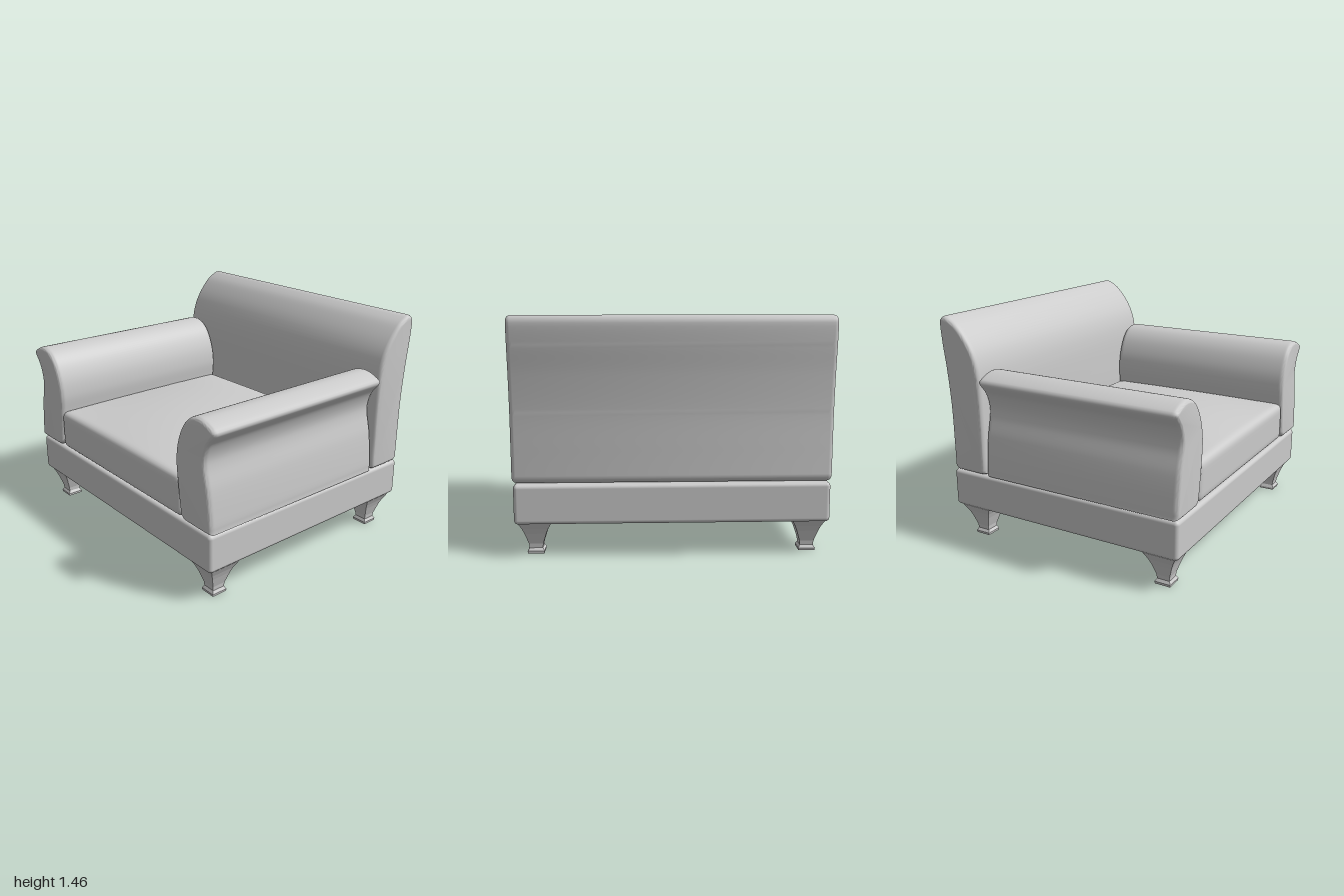
import * as THREE from 'three';
import { mergeVertices, toCreasedNormals } from 'three/addons/utils/BufferGeometryUtils.js';
import { RoundedBoxGeometry } from 'three/addons/geometries/RoundedBoxGeometry.js';

const upholstery = new THREE.MeshStandardMaterial({ color: 0xcccccc });
const wood = new THREE.MeshStandardMaterial({ color: 0xcccccc, flatShading: true });

function addMesh(parent, name, geometry, material, x = 0, y = 0, z = 0) {
  const mesh = new THREE.Mesh(geometry, material);
  mesh.name = name;
  mesh.position.set(x, y, z);
  parent.add(mesh);
  return mesh;
}

// Padded roll: a smooth profile extruded along z (centred) with soft ends.
function paddedRoll(points, length, bevelSize, bevelThickness) {
  const curve = new THREE.SplineCurve(points.map(([x, y]) => new THREE.Vector2(x, y)));
  const geometry = new THREE.ExtrudeGeometry(new THREE.Shape(curve.getSpacedPoints(110)), {
    depth: length - 2 * bevelThickness,
    steps: 1,
    bevelEnabled: true,
    bevelSize,
    bevelThickness,
    bevelOffset: -bevelSize,
    bevelSegments: 6,
  });
  geometry.translate(0, 0, bevelThickness - length / 2);
  return toCreasedNormals(geometry, 0.8);
}

// Rounded block whose top swells into a shallow crown.
function crownedCushion(w, h, d, radius, crown) {
  let geometry = new THREE.BoxGeometry(2, 2, 2, 40, 16, 40);
  geometry.deleteAttribute('normal');
  geometry.deleteAttribute('uv');
  geometry = mergeVertices(geometry, 1e-4);
  const half = new THREE.Vector3(w / 2, h / 2, d / 2);
  const inner = half.clone().subScalar(radius);
  const pos = geometry.attributes.position;
  const p = new THREE.Vector3();
  const core = new THREE.Vector3();
  for (let i = 0; i < pos.count; i++) {
    p.fromBufferAttribute(pos, i);
    // crowd the grid towards the edges, then round them
    for (const axis of ['x', 'y', 'z']) p[axis] = half[axis] * Math.sin(p[axis] * Math.PI / 2);
    core.copy(p).clamp(inner.clone().negate(), inner);
    p.sub(core).setLength(radius).add(core);
    const swell = (1 - (p.x / half.x) ** 2) * (1 - (p.z / half.z) ** 2);
    p.y += crown * swell * Math.max(0, p.y / half.y);
    pos.setXYZ(i, p.x, p.y, p.z);
  }
  geometry.computeVertexNormals();
  return geometry;
}

export function createModel() {
  const chair = new THREE.Group();
  chair.name = 'armchair';

  // Base frame and seat
  addMesh(chair, 'base', new RoundedBoxGeometry(1.91, 0.245, 1.635, 5, 0.025), upholstery, 0, 0.3325, 0.0175);
  addMesh(chair, 'seatCushion', crownedCushion(1.36, 0.265, 1.36, 0.045, 0.06), upholstery, 0, 0.59, 0.155);

  // Arms: scrolled outward at the top, profile in x and y
  const armProfile = [
    [0.72, 0.46], [0.94, 0.46], [0.963, 0.48], [0.958, 0.58], [0.94, 0.727], [0.913, 0.85],
    [0.912, 0.92], [0.938, 0.995], [0.98, 1.05], [0.998, 1.08], [0.98, 1.102], [0.917, 1.13],
    [0.855, 1.139], [0.78, 1.118], [0.714, 1.053], [0.666, 0.946], [0.648, 0.834],
    [0.655, 0.727], [0.67, 0.594], [0.686, 0.487],
  ];
  for (const [name, side] of [['leftArm', 1], ['rightArm', -1]]) {
    // mirrored profile is reversed so the outline keeps its direction
    const points = armProfile.map(([x, y]) => [x * side, y]);
    if (side < 0) points.reverse();
    addMesh(chair, name, paddedRoll(points, 1.36, 0.022, 0.035), upholstery, 0, 0, 0.158);
  }

  // Backrest: profile in z and y, turned to run across the chair
  const backProfile = [
    [-0.76, 0.46], [-0.56, 0.46], [-0.534, 0.485], [-0.533, 0.65], [-0.533, 0.84], [-0.54, 1.065],
    [-0.564, 1.2], [-0.614, 1.305], [-0.695, 1.404], [-0.763, 1.449], [-0.797, 1.46],
    [-0.826, 1.449], [-0.84, 1.415], [-0.831, 1.29], [-0.808, 1.11], [-0.79, 0.885],
    [-0.786, 0.66], [-0.785, 0.485],
  ];
  const backGeometry = paddedRoll(backProfile, 1.93, 0.025, 0.035);
  backGeometry.rotateY(-Math.PI / 2);
  addMesh(chair, 'backrest', backGeometry, upholstery);

  // Legs: square, flared at the top, with a small foot
  const legProfile = [
    [0, 0], [0.05, 0], [0.052, 0.015], [0.041, 0.033], [0.044, 0.06], [0.066, 0.13],
    [0.08, 0.165], [0.105, 0.212], [0, 0.215],
  ].map(([halfWidth, y]) => new THREE.Vector2(halfWidth * Math.SQRT2, y));
  const legGeometry = new THREE.LatheGeometry(legProfile, 4, Math.PI / 4);
  for (const [end, z] of [['front', 0.707], ['back', -0.647]]) {
    for (const [side, x] of [['Left', 0.838], ['Right', -0.838]]) {
      addMesh(chair, `${end}${side}Leg`, legGeometry, wood, x, 0, z);
    }
  }
  return chair;
}
